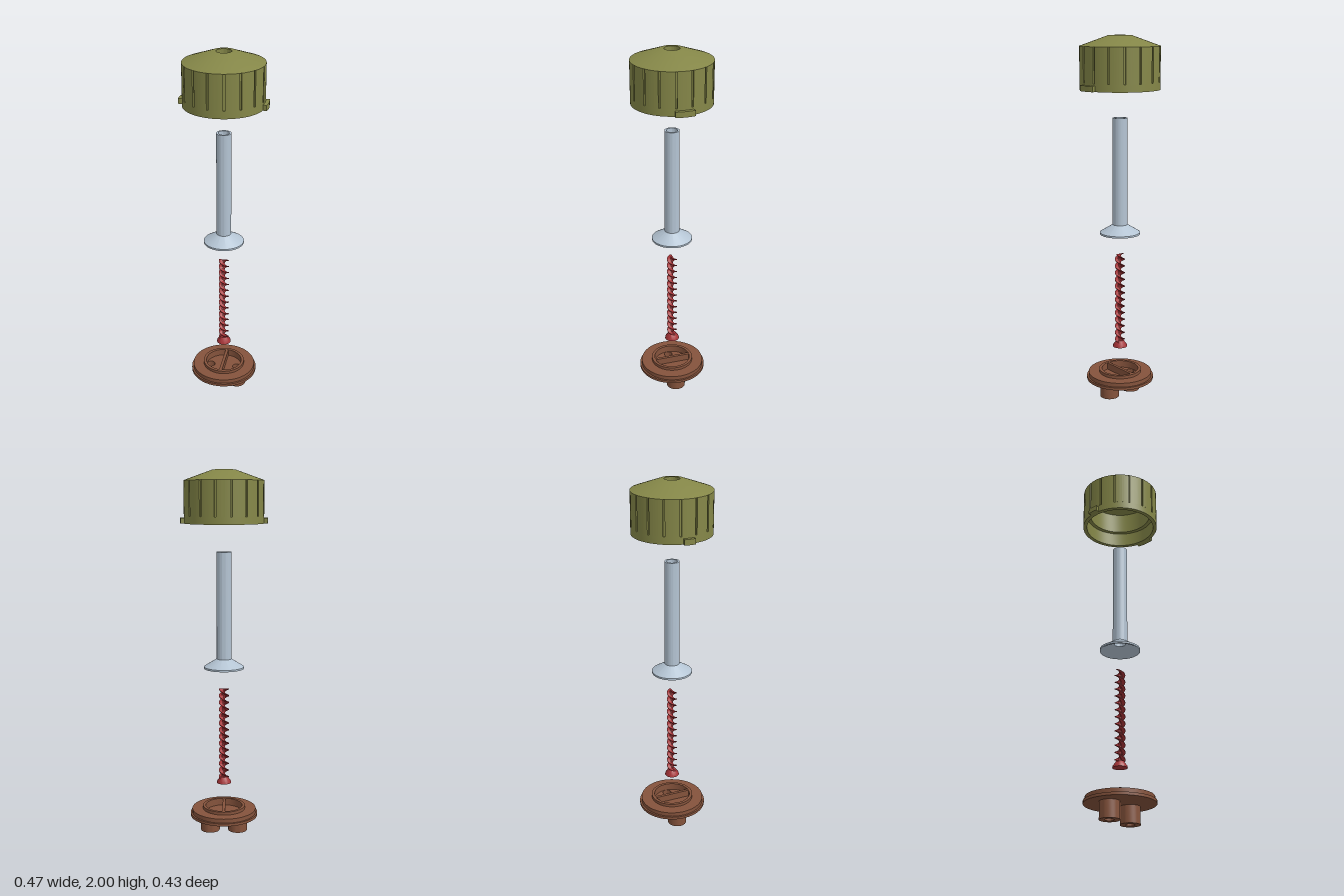
import * as THREE from 'three';
import { toCreasedNormals } from 'three/addons/utils/BufferGeometryUtils.js';

const mat = (name, color, extra = {}) => {
  const m = new THREE.MeshStandardMaterial({ color, ...extra });
  m.name = name;
  return m;
};

export function createModel() {
  const green = mat('olive green', 0x858748);
  const steel = mat('pale steel', 0xb4c4d3);
  const red = mat('red', 0xa83438, { side: THREE.DoubleSide });
  const brown = mat('brown', 0x85533c);

  const model = new THREE.Group();
  const group = (name) => {
    const g = new THREE.Group();
    g.name = name;
    model.add(g);
    return g;
  };
  const add = (parent, name, geometry, material) => {
    const m = new THREE.Mesh(geometry, material);
    m.name = name;
    parent.add(m);
    return m;
  };
  // Turned solid: profile runs up the outside and down the inside
  const turned = (pts, segments = 64) => toCreasedNormals(
    new THREE.LatheGeometry(pts.map(([r, y]) => new THREE.Vector2(r, y)), segments), 0.5);
  // Upright prism from a plan shape
  const prism = (shape, y, height) => {
    const g = new THREE.ExtrudeGeometry(shape, { depth: height, bevelEnabled: false, curveSegments: 24 });
    return toCreasedNormals(g.rotateX(-Math.PI / 2).translate(0, y, 0), 0.5);
  };
  const sector = (r0, r1, a0, a1) => {
    const s = new THREE.Shape();
    s.absarc(0, 0, r1, a0, a1, false);
    s.absarc(0, 0, r0, a1, a0, true);
    s.closePath();
    return s;
  };

  // Cap: hollow, with a conical roof and a central hole
  const cap = group('cap');
  add(cap, 'capShell', turned([
    [0.213, 1.72], [0.213, 1.76], [0.204, 1.76], [0.204, 1.945], [0.213, 1.945],
    [0.06, 2], [0.04, 2], [0.04, 1.965], [0.17, 1.92], [0.17, 1.8],
    [0.192, 1.8], [0.192, 1.72], [0.213, 1.72],
  ], 96), green);
  // Raised panels leave narrow grip grooves between them
  const count = 16, step = (Math.PI * 2) / count, halfGroove = 0.024;
  for (let i = 0; i < count; i++) {
    const a = (i - 0.5) * step;
    add(cap, 'gripPanel', prism(sector(0.203, 0.213, a + halfGroove, a + step - halfGroove), 1.76, 0.185), green);
  }
  // Locking tabs: the left one is wider
  add(cap, 'leftTab', prism(sector(0.208, 0.233, -0.225, 0.225), 1.72, 0.03), green);
  add(cap, 'rightTab', prism(sector(0.208, 0.233, Math.PI - 0.13, Math.PI + 0.13), 1.72, 0.03), green);

  // Tube with a flared, hollow foot
  const tube = group('flaredTube');
  add(tube, 'tubeBody', turned([
    [0.11, 0.935], [0.11, 0.945], [0.04, 0.988], [0.04, 1.57],
    [0.029, 1.57], [0.029, 0.975], [0.1, 0.935], [0.11, 0.935],
  ]), steel);

  // Spiral: a thin twisted blade standing on a small cone
  const spiral = group('spiral');
  const rows = 120, bottom = 0.3, top = 0.82, pitch = 0.078;
  const blade = new THREE.BoxGeometry(0.056, top - bottom, 0.009, 4, rows, 1);
  const p = blade.attributes.position, v = new THREE.Vector3(), up = new THREE.Vector3(0, 1, 0);
  for (let i = 0; i < p.count; i++) {
    v.fromBufferAttribute(p, i);
    const y = v.y + (top + bottom) / 2;
    v.applyAxisAngle(up, ((top - y) / pitch) * Math.PI * 2);
    p.setXYZ(i, v.x, y, v.z);
  }
  add(spiral, 'twistedBlade', toCreasedNormals(blade, 0.6), red);
  add(spiral, 'spiralFoot', turned([
    [0, 0.28], [0.04, 0.28], [0.038, 0.29], [0.02, 0.315], [0, 0.315],
  ], 40), red);

  // Base: stepped disc with a recessed top
  const base = group('base');
  const disc = (r, holes) => {
    const s = new THREE.Shape().absarc(0, 0, r, 0, Math.PI * 2, false);
    for (const [x, hr] of holes) s.holes.push(new THREE.Path().absarc(x, 0, hr, 0, Math.PI * 2, true));
    return s;
  };
  const ports = [[-0.077, 0.024], [0.077, 0.024]];
  add(base, 'flange', prism(disc(0.188, ports), 0.092, 0.015), brown);
  add(base, 'step', prism(disc(0.178, [[0, 0.102]]), 0.107, 0.023), brown);
  add(base, 'topRing', prism(disc(0.118, [[0, 0.102]]), 0.13, 0.017), brown);
  // Bar dividing the recess between the two ports
  add(base, 'divider', new THREE.BoxGeometry(0.016, 0.04, 0.208), brown).position.y = 0.126;
  for (const [x] of ports) {
    add(base, 'portTube', turned([
      [0.053, 0], [0.053, 0.093], [0.024, 0.093], [0.024, 0], [0.053, 0],
    ], 40), brown).position.x = x;
  }
  return model;
}
